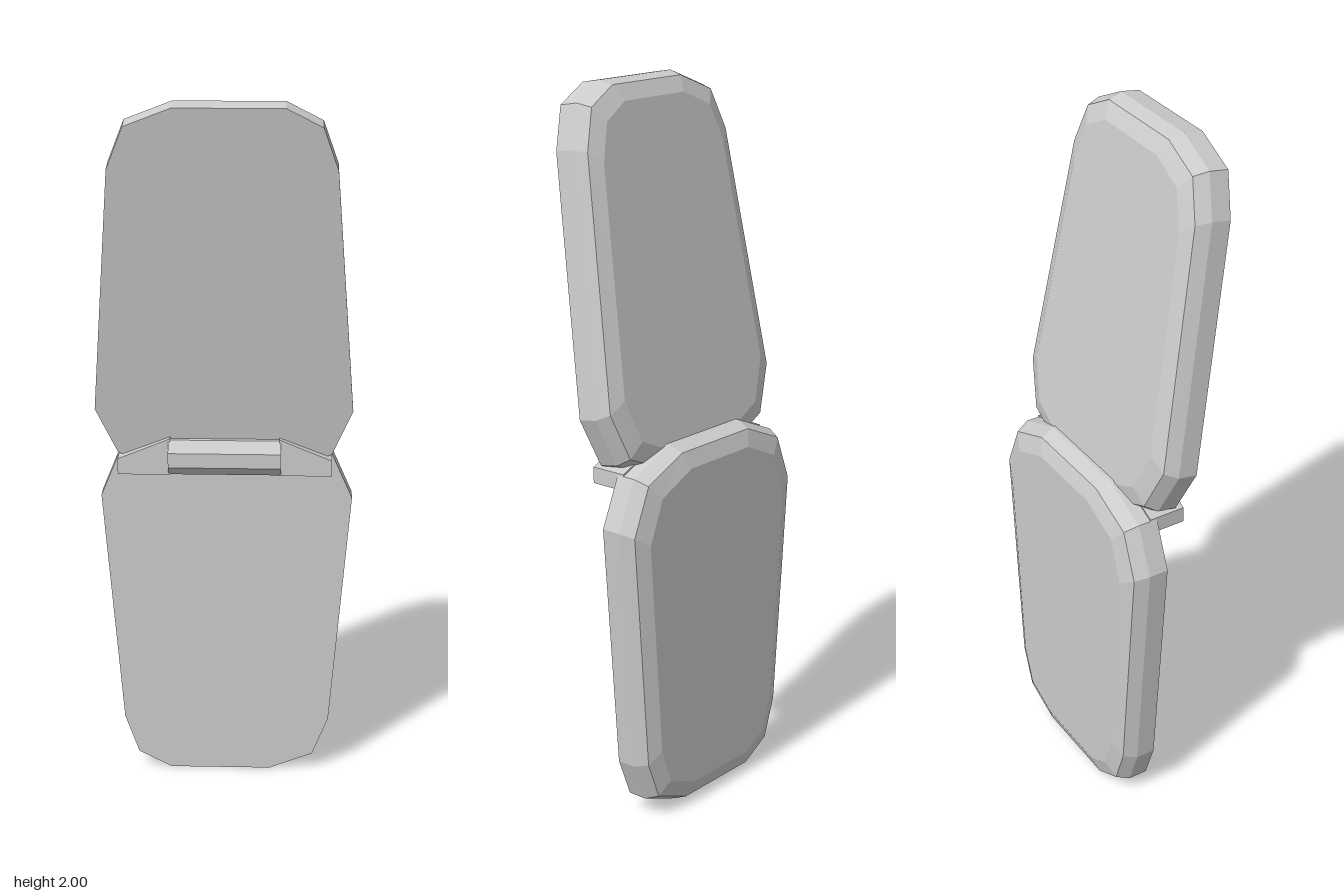
import * as THREE from 'three';

const material = new THREE.MeshStandardMaterial({ color: 0xcccccc, flatShading: true });

// Half-shell outline, counter-clockwise; hinge edge at the top
const OUTLINE = [
  [-0.16, 0], [0.13, 0], [0.255, 0.05], [0.3, 0.165], [0.355, 0.86], [0.295, 0.995],
  [0.15, 1.055], [-0.15, 1.055], [-0.295, 0.995], [-0.35, 0.86], [-0.295, 0.165], [-0.255, 0.05],
];
const HALF_W = 0.355, MID_Y = 0.5275;
// Depth behind the flat face, and inset of the outline there
const LAYERS = [[0, 0], [0.056, 0], [0.095, 0.017], [0.112, 0.062]];

function shellGeometry() {
  const n = OUTLINE.length;
  const pos = [], idx = [];
  for (const [depth, inset] of LAYERS) {
    const sx = 1 - inset / HALF_W, sy = 1 - inset / MID_Y;
    for (const [x, y] of OUTLINE) pos.push(x * sx, MID_Y + (y - MID_Y) * sy, -depth);
  }
  // Side bands
  for (let l = 0; l < LAYERS.length - 1; l++) {
    for (let i = 0; i < n; i++) {
      const a = l * n + i, b = l * n + (i + 1) % n;
      idx.push(a, a + n, b, b, a + n, b + n);
    }
  }
  // Flat front and back faces
  const last = (LAYERS.length - 1) * n;
  for (let i = 1; i < n - 1; i++) {
    idx.push(0, i, i + 1);
    idx.push(last, last + i + 1, last + i);
  }
  const g = new THREE.BufferGeometry();
  g.setAttribute('position', new THREE.Float32BufferAttribute(pos, 3));
  g.setIndex(idx);
  const flat = g.toNonIndexed();
  flat.computeVertexNormals();
  return flat;
}

function part(name, geometry, parent) {
  const m = new THREE.Mesh(geometry, material);
  m.name = name;
  parent.add(m);
  return m;
}

export function createModel() {
  const model = new THREE.Group();
  model.name = 'flipPhone';

  // Lower half, upright
  const shell = shellGeometry();
  part('lowerShell', shell, model).position.z = -0.06;

  // Upper half: the same shell turned end for end and tilted forward
  const lid = new THREE.Group();
  lid.name = 'upperHalf';
  lid.position.set(0, 1.99, 0.168);
  lid.rotation.x = THREE.MathUtils.degToRad(9.8);
  part('upperShell', shell, lid).rotation.z = Math.PI;
  model.add(lid);

  // Hinge barrel
  const barrel = new THREE.CylinderGeometry(0.054, 0.054, 0.31, 8);
  barrel.rotateX(0).rotateY(Math.PI / 8).rotateZ(Math.PI / 2);
  part('hingeBarrel', barrel, model).position.set(0, 1.005, 0);

  // Tapered hinge brackets on both sides
  for (const [side, name] of [[1, 'leftHingeBracket'], [-1, 'rightHingeBracket']]) {
    const shape = new THREE.Shape([[0.15, 0.955], [0.295, 0.955], [0.295, 1.0], [0.15, 1.06]]
      .map(([x, y]) => new THREE.Vector2(side * x, y)));
    const g = new THREE.ExtrudeGeometry(shape, { depth: 0.105, bevelEnabled: false });
    part(name, g, model).position.z = -0.08;
  }
  return model;
}
